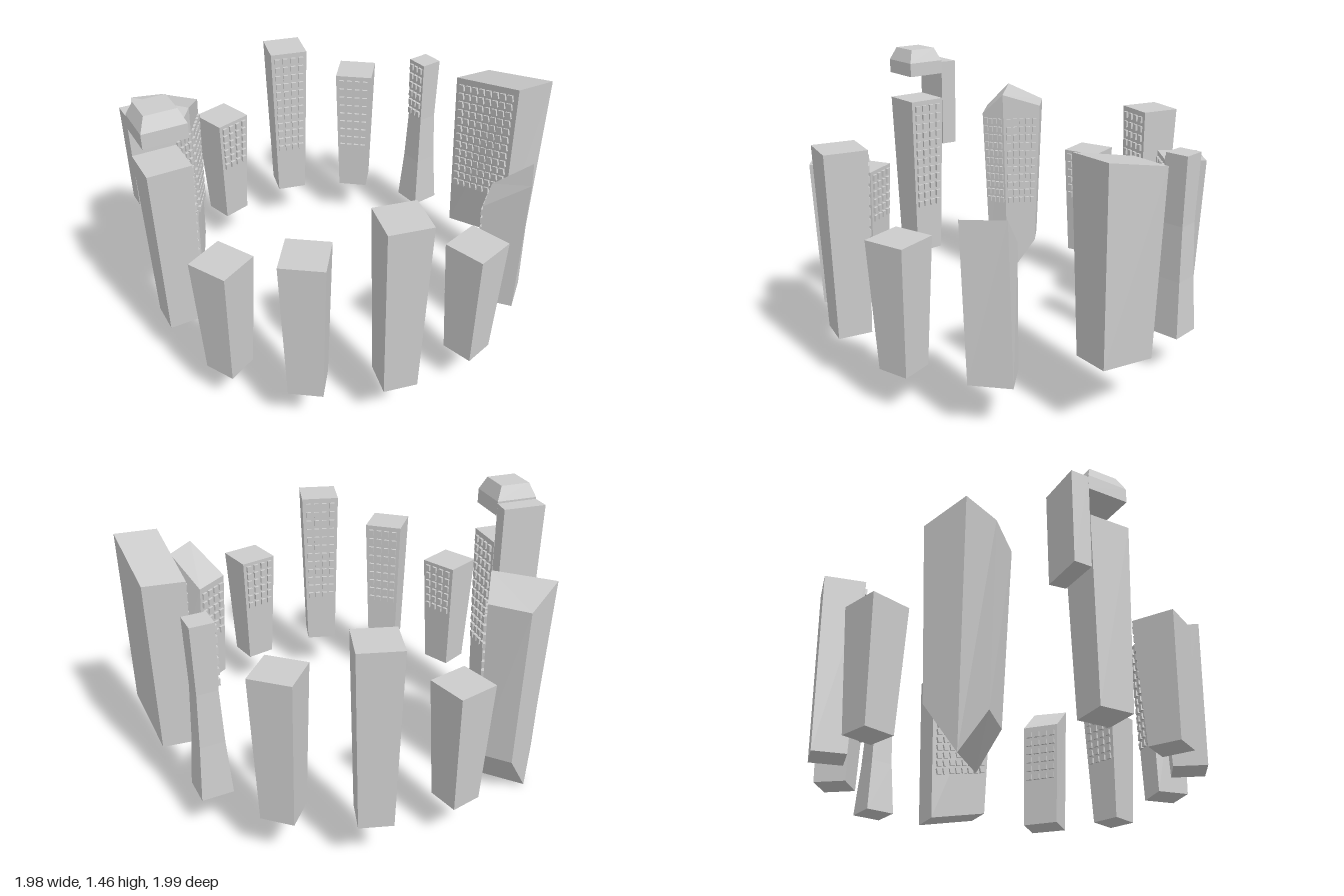
import * as THREE from 'three';
import { mergeGeometries } from 'three/addons/utils/BufferGeometryUtils.js';

const material = new THREE.MeshStandardMaterial({ color: 0xcccccc, flatShading: true });
const V = (p) => new THREE.Vector3(...p);

// Solid from stacked rings of corners, each counter-clockwise seen from above
function loft(name, rings) {
  const pos = [];
  const quad = (a, b, c, d) => [a, b, c, a, c, d].forEach((p) => pos.push(...p));
  const n = rings[0].length;
  for (let r = 0; r < rings.length - 1; r++) {
    const lo = rings[r], hi = rings[r + 1];
    for (let i = 0; i < n; i++) {
      const j = (i + 1) % n;
      quad(lo[i], lo[j], hi[j], hi[i]);
    }
  }
  // six-sided rings get two cap planes that meet in a ridge
  const caps = n === 6 ? [[0, 1, 4, 5], [1, 2, 3, 4]] : [[0, 1, 2, 3]];
  const first = rings[0], last = rings[rings.length - 1];
  for (const [a, b, c, d] of caps) {
    quad(last[a], last[b], last[c], last[d]);
    quad(first[d], first[c], first[b], first[a]);
  }
  const g = new THREE.BufferGeometry();
  g.setAttribute('position', new THREE.Float32BufferAttribute(pos, 3));
  g.computeVertexNormals();
  const mesh = new THREE.Mesh(g, material);
  mesh.name = name;
  return mesh;
}

// Grid of raised window blocks on the wall between corners i and i+1 of two rings
function windows(lo, hi, i, cols, rows, v0, v1) {
  const [a, b, c, d] = [lo[i], lo[i + 1], hi[i + 1], hi[i]].map(V);
  const X = b.clone().sub(a).normalize();
  const N = X.clone().cross(d.clone().sub(a)).normalize();
  const Y = N.clone().cross(X);
  const size = Math.min(0.036, (0.66 * a.distanceTo(b)) / cols);
  const blocks = [];
  for (let r = 0; r < rows; r++) {
    for (let k = 0; k < cols; k++) {
      const v = v0 + ((v1 - v0) * (r + 0.5)) / rows;
      const u = 0.05 + (0.9 * (k + 0.5)) / cols;
      const p = a.clone().lerp(b, u).lerp(d.clone().lerp(c, u), v);
      p.addScaledVector(N, 0.003 - 0.003 * v);
      const m = new THREE.Matrix4().makeBasis(X, Y, N).setPosition(p);
      blocks.push(new THREE.BoxGeometry(size, 0.034, 0.024).applyMatrix4(m));
    }
  }
  const mesh = new THREE.Mesh(mergeGeometries(blocks), material);
  mesh.name = 'windows';
  return mesh;
}

// Square ring; its first edge faces the direction (nx, nz)
function square(cx, cz, nx, nz, half, y) {
  const l = Math.hypot(nx, nz) / half;
  const n = [nx / l, nz / l], t = [nz / l, -nx / l];
  return [[-1, 1], [1, 1], [1, -1], [-1, -1]].map(([s, f]) =>
    [cx + s * t[0] + f * n[0], y, cz + s * t[1] + f * n[1]]);
}

// Copy of a ring scaled about its centre at a new height
function scaled(ring, k, y) {
  const mid = (i) => ring.reduce((s, p) => s + p[i], 0) / ring.length;
  const cx = mid(0), cz = mid(2);
  return ring.map((p) => [cx + (p[0] - cx) * k, y, cz + (p[2] - cz) * k]);
}

export function createModel() {
  const model = new THREE.Group();
  const group = (name, ...parts) => {
    const g = new THREE.Group();
    g.name = name;
    g.add(...parts);
    model.add(g);
  };

  // Plain flat-roofed towers, wider at the top, windows facing the middle
  const plain = [
    // name, centre x, z, inward direction, base y, top y, taper, rows, window start
    ['backTower', -0.005, -0.895, 0, 1, 0.21, 0.845, 0.76, 6, 0.53],
    ['frontTower', 0.025, 0.89, 0, -1, 0.21, 0.845, 0.76, 6, 0.53],
    ['rightTower', -0.87, 0.133, 0.98, -0.18, 0.21, 0.845, 0.76, 6, 0.53],
    ['backLeftTallTower', 0.42, -0.803, -0.5, 0.86, 0.24, 1.165, 0.8, 12, 0.3],
    ['frontRightTallTower', -0.404, 0.786, 0.49, -0.87, 0.24, 1.165, 0.8, 12, 0.3],
    ['backLeftTower', 0.735, -0.53, -0.81, 0.58, 0.24, 1.0, 0.8, 9, 0.34],
    ['frontRightTower', -0.717, 0.52, 0.8, -0.6, 0.24, 1.0, 0.8, 9, 0.34],
  ];
  for (const [name, x, z, nx, nz, y0, y1, taper, rows, v0] of plain) {
    const top = square(x, z, nx, nz, 0.104, y1);
    const base = scaled(top, taper, y0);
    group(name, loft('towerBody', [base, top]), windows(base, top, 0, 4, rows, v0, 0.98));
  }

  // Slim tower with a narrow waist
  const foot = square(0.898, -0.147, -0.985, -0.17, 0.08, 0.21);
  const waist = scaled(foot, 0.66, 0.78);
  const head = scaled(foot, 0.74, 1.13);
  group('waistedTower', loft('towerBody', [foot, scaled(foot, 0.78, 0.5), waist, head]),
    windows(waist, head, 0, 3, 6, 0.02, 0.97));

  // Broad slab with slanted roof and base
  const slabBase = [[0.795, 0.245, 0.19], [0.753, 0.345, 0.575], [0.917, 0.345, 0.633], [0.965, 0.245, 0.245]];
  const slabTop = [[0.79, 1.165, 0.16], [0.715, 1.27, 0.595], [0.917, 1.27, 0.66], [0.985, 1.165, 0.23]];
  group('slantedSlab', loft('towerBody', [slabBase, slabTop]),
    windows(slabBase, slabTop, 0, 8, 13, 0.27, 0.97));

  // Tower whose roof slopes toward the middle
  const wedgeBase = [[0.504, 0.24, 0.66], [0.318, 0.24, 0.735], [0.396, 0.24, 0.904], [0.582, 0.24, 0.82]];
  const wedgeTop = [[0.485, 0.845, 0.644], [0.29, 0.845, 0.729], [0.38, 1.01, 0.926], [0.555, 1.01, 0.824]];
  group('slopedRoofTower', loft('towerBody', [wedgeBase, wedgeTop]),
    windows(wedgeBase, wedgeTop, 0, 4, 6, 0.43, 0.96));

  // Tower with a hooked canopy carried by a rear column
  const deck = [[-0.758, 1.165, -0.165], [-0.695, 1.165, -0.365], [-0.902, 1.165, -0.43], [-0.965, 1.165, -0.229]];
  const deckBase = scaled(deck, 0.8, 0.24);
  const column = [[-0.695, 1.375, -0.365], [-0.66, 1.375, -0.447], [-0.875, 1.375, -0.52], [-0.902, 1.375, -0.43]];
  group('canopyTower',
    loft('towerBody', [deckBase, deck]),
    windows(deckBase, deck, 0, 4, 12, 0.3, 0.98),
    loft('canopyColumn', [scaled(column, 0.96, 0.89), column]),
    loft('canopy', [scaled(deck, 1, 1.31), scaled(deck, 1, 1.385), scaled(deck, 0.72, 1.455)]));

  // Crystal tower with a ridged roof and a keel below
  const keel = [[-0.54, 0.17, -0.62], [-0.423, 0, -0.65], [-0.295, 0.24, -0.76],
    [-0.375, 0.24, -0.91], [-0.54, 0, -0.867], [-0.645, 0.17, -0.8]];
  const ridge = [[-0.56, 1.05, -0.58], [-0.433, 1.17, -0.605], [-0.267, 1.1, -0.755],
    [-0.363, 1.1, -0.94], [-0.58, 1.18, -0.89], [-0.677, 1.05, -0.8]];
  // level window bands on the two inner facets
  const band = (y) => keel.map((p, i) => {
    const q = ridge[i], t = (y - p[1]) / (q[1] - p[1]);
    return [p[0] + (q[0] - p[0]) * t, y, p[2] + (q[2] - p[2]) * t];
  });
  group('crystalTower', loft('towerBody', [keel, ridge]),
    windows(band(0.49), band(1.05), 0, 4, 11, 0, 0.97),
    windows(band(0.49), band(1.05), 1, 5, 11, 0, 0.97));

  return model;
}
